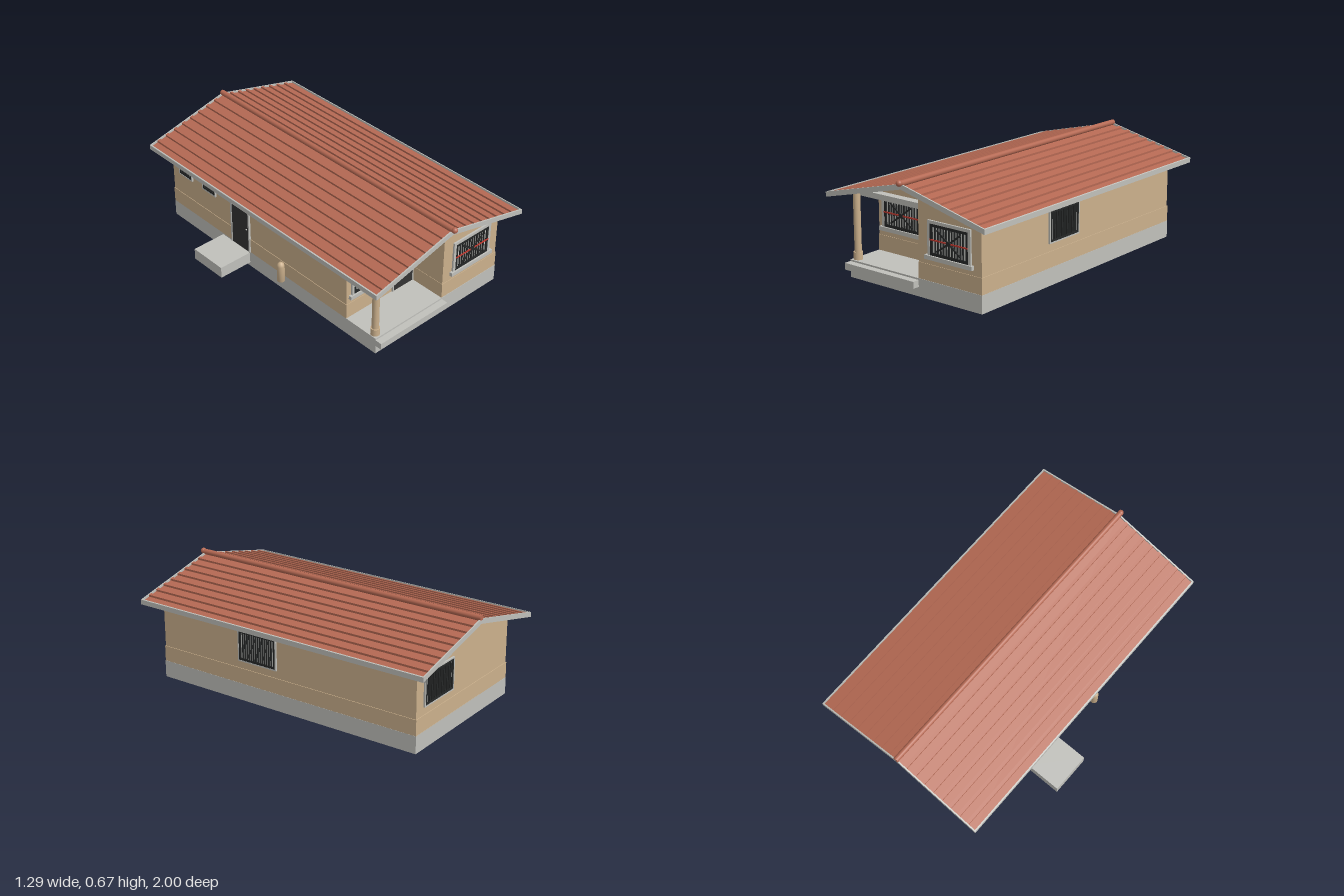
import * as THREE from 'three';

const mat = (name, color) => {
  const m = new THREE.MeshStandardMaterial({ color });
  m.name = name;
  return m;
};

export function createModel() {
  const house = new THREE.Group();
  house.name = 'house';
  const plaster = mat('tan plaster', 0xcbb08c);
  const concrete = mat('grey concrete', 0xc0c0bb);
  const tile = mat('roof red', 0xb56953);
  const iron = mat('black iron', 0x262828);
  const doorPaint = mat('dark door', 0x343434);
  const glass = mat('pale glass', 0xc6c7c3);
  const red = mat('red bar', 0xc23a30);
  const timber = mat('rafter grey', 0x666664);

  const add = (name, geo, m, parent = house) => {
    const mesh = new THREE.Mesh(geo, m);
    mesh.name = name;
    parent.add(mesh);
    return mesh;
  };
  // box given by its limits
  const box = (name, m, x0, x1, y0, y1, z0, z1, parent = house) => {
    const b = add(name, new THREE.BoxGeometry(x1 - x0, y1 - y0, z1 - z0), m, parent);
    b.position.set((x0 + x1) / 2, (y0 + y1) / 2, (z0 + z1) / 2);
    return b;
  };
  // outline in x, y extruded from z0 to z1
  const prism = (name, m, pts, z0, z1) => {
    const shape = new THREE.Shape(pts.map(([x, y]) => new THREE.Vector2(x, y)));
    const p = add(name, new THREE.ExtrudeGeometry(shape, { depth: z1 - z0, bevelEnabled: false }), m);
    p.position.z = z0;
    return p;
  };

  // roof line and helpers that follow it
  const RX = 0.06, LEFT = -0.515, RIGHT = 0.642, BACK = -1, FRONT = 0.972;
  const roofY = (x) => 0.645 - Math.abs(x - RX) * 0.242;
  const across = (x0, x1) => (x0 < RX && x1 > RX ? [x0, RX, x1] : [x0, x1]);
  const roofStrip = (name, m, x0, x1, top, bottom, z0, z1) => {
    const xs = across(x0, x1);
    prism(name, m, [
      ...xs.map((x) => [x, roofY(x) + bottom]),
      ...xs.reverse().map((x) => [x, roofY(x) + top]),
    ], z0, z1);
  };
  const gableBlock = (name, x0, x1, z0, z1) => prism(name, plaster, [
    [x0, 0.105], [x1, 0.105],
    ...across(x0, x1).reverse().map((x) => [x, roofY(x) - 0.03]),
  ], z0, z1);

  // foundation, steps and walls
  box('foundation', concrete, -0.425, 0.55, 0, 0.105, -0.905, 0.887);
  box('porchStep', concrete, -0.425, 0.1, 0.055, 0.095, 0.88, 0.93);
  box('sideStep', concrete, -0.645, -0.425, 0.025, 0.097, -0.43, -0.18);
  gableBlock('mainWalls', -0.422, 0.545, -0.9, 0.65);
  gableBlock('frontRoomWalls', 0.1, 0.545, 0.65, 0.882);
  box('mainDado', plaster, -0.425, 0.549, 0.105, 0.2, -0.904, 0.653);
  box('frontRoomDado', plaster, 0.098, 0.549, 0.105, 0.2, 0.653, 0.885);

  // roof: deck, edge boards, red sheet and raised ribs
  roofStrip('roofDeck', concrete, LEFT, RIGHT, -0.018, -0.03, BACK, FRONT);
  roofStrip('frontFascia', concrete, LEFT, RIGHT, 0, -0.03, FRONT - 0.008, FRONT + 0.001);
  roofStrip('backFascia', concrete, LEFT, RIGHT, 0, -0.03, BACK, BACK + 0.008);
  roofStrip('leftFascia', concrete, LEFT, LEFT + 0.008, 0, -0.03, BACK, FRONT);
  roofStrip('rightFascia', concrete, RIGHT - 0.008, RIGHT, 0, -0.03, BACK, FRONT);
  roofStrip('roofSheet', tile, LEFT + 0.008, RIGHT - 0.008, -0.012, -0.018, BACK + 0.008, FRONT - 0.008);
  for (const s of [-1, 1]) {
    for (let i = 1; i <= 8; i++) {
      const x = RX + s * (i * 0.064);
      roofStrip('roofRib', tile, x - 0.01, x + 0.01, 0, -0.013, BACK + 0.008, FRONT - 0.008);
    }
  }
  const ridge = add('ridgeCap', new THREE.CylinderGeometry(0.017, 0.017, FRONT - BACK, 16), tile);
  ridge.rotation.x = Math.PI / 2;
  ridge.position.set(RX, 0.648, (FRONT + BACK) / 2);
  add('ridgeBall', new THREE.SphereGeometry(0.018, 20, 14), tile).position.set(RX, 0.651, 0.982);

  // rafters showing under the eaves
  for (let i = 0; i < 9; i++) {
    const z = 0.8 - i * 0.219;
    roofStrip('rafter', timber, LEFT + 0.015, RIGHT - 0.015, -0.029, -0.04, z - 0.012, z + 0.012);
  }

  // barred window, centred on its frame and facing +z
  const makeWindow = (name, w, h, bars, ornate, pos, turn) => {
    const g = new THREE.Group();
    g.name = name;
    const a = w / 2, b = h / 2, t = ornate ? 0.018 : 0.008, f = ornate ? 0.016 : 0.012;
    const ring = (label, m, hw, hh, k, d) => {
      box(label, m, -hw, hw, hh - k, hh, 0, d, g);
      box(label, m, -hw, hw, -hh, -hh + k, 0, d, g);
      for (const s of [-1, 1]) {
        const e = [s * hw, s * (hw - k)].sort((p, q) => p - q);
        box(label, m, e[0], e[1], -hh + k, hh - k, 0, d, g);
      }
    };
    box('pane', glass, -a, a, -b, b, 0, 0.003, g);
    ring('windowTrim', concrete, a + t, b + t, t, 0.011);
    ring('ironFrame', iron, a, b, f, 0.01);
    for (let i = 1; i <= bars; i++) {
      const x = -a + f + ((w - 2 * f) * i) / (bars + 1);
      box('windowBar', iron, x - 0.0035, x + 0.0035, -b + f, b - f, 0.003, 0.01, g);
    }
    if (ornate) {
      const dx = w * 0.62, dy = h * 0.68;
      for (const s of [-1, 1]) {
        const d = add('crossBar', new THREE.BoxGeometry(Math.hypot(dx, dy), 0.009, 0.005), iron, g);
        d.rotation.z = s * Math.atan2(dy, dx);
        d.position.z = 0.011;
      }
      const hub = add('crossHub', new THREE.BoxGeometry(0.024, 0.024, 0.006), iron, g);
      hub.rotation.z = Math.PI / 4;
      hub.position.z = 0.012;
      box('redBar', red, -a, a, -0.004, 0.004, 0.008, 0.0135, g);
      box('windowSill', concrete, -a - 0.034, a + 0.034, -b - 0.024, -b, 0, 0.02, g);
    }
    g.position.set(...pos);
    g.rotation.y = turn;
    house.add(g);
  };
  const Q = Math.PI / 2;
  makeWindow('frontWindow', 0.268, 0.178, 11, true, [0.325, 0.345, 0.882], 0);
  makeWindow('porchWindow', 0.268, 0.178, 11, true, [-0.237, 0.345, 0.65], 0);
  makeWindow('sideWindow', 0.26, 0.18, 14, false, [0.545, 0.345, 0.172], Q);
  makeWindow('backWindow', 0.28, 0.18, 14, false, [0.327, 0.345, -0.9], 2 * Q);
  for (const z of [-0.767, -0.542]) {
    makeWindow('smallWindow', 0.11, 0.065, 5, false, [-0.422, 0.385, z], -Q);
  }

  // door in its frame, facing +z
  const makeDoor = (name, w, pos, turn) => {
    const g = new THREE.Group();
    g.name = name;
    const a = w / 2, h = 0.328;
    box('doorPanel', doorPaint, -a, a, 0, h, 0, 0.008, g);
    for (const s of [-1, 1]) {
      const x = s * (a + 0.005);
      box('doorJamb', concrete, x - 0.005, x + 0.005, 0, h, 0, 0.012, g);
    }
    box('doorHead', concrete, -a - 0.01, a + 0.01, h, h + 0.01, 0, 0.012, g);
    add('doorKnob', new THREE.SphereGeometry(0.005, 10, 8), concrete, g).position.set(a - 0.015, h * 0.48, 0.011);
    g.position.set(...pos);
    g.rotation.y = turn;
    house.add(g);
  };
  makeDoor('frontDoor', 0.15, [0.016, 0.105, 0.65], 0);
  makeDoor('sideDoor', 0.15, [-0.422, 0.105, -0.255], -Q);

  // porch lintel, column and lamp
  box('porchBeam', concrete, -0.41, 0.1, 0.475, 0.508, 0.78, 0.83);
  const column = new THREE.Group();
  column.name = 'porchColumn';
  column.position.set(-0.395, 0, 0.852);
  house.add(column);
  add('columnShaft', new THREE.CylinderGeometry(0.021, 0.021, 0.4, 20), plaster, column).position.y = 0.305;
  add('columnFoot', new THREE.CylinderGeometry(0.027, 0.027, 0.045, 20), plaster, column).position.y = 0.1275;
  box('wallLamp', iron, -0.117, -0.09, 0.441, 0.456, 0.65, 0.672);
  box('lampFace', glass, -0.113, -0.094, 0.444, 0.453, 0.672, 0.674);

  // tank beside the side wall
  const profile = [[0, 0.095], [0.023, 0.095], [0.023, 0.2], [0.019, 0.213], [0.011, 0.222], [0, 0.225]];
  const tank = add('sideTank', new THREE.LatheGeometry(profile.map(([x, y]) => new THREE.Vector2(x, y)), 16), plaster);
  tank.position.set(-0.459, 0, 0.14);
  return house;
}
